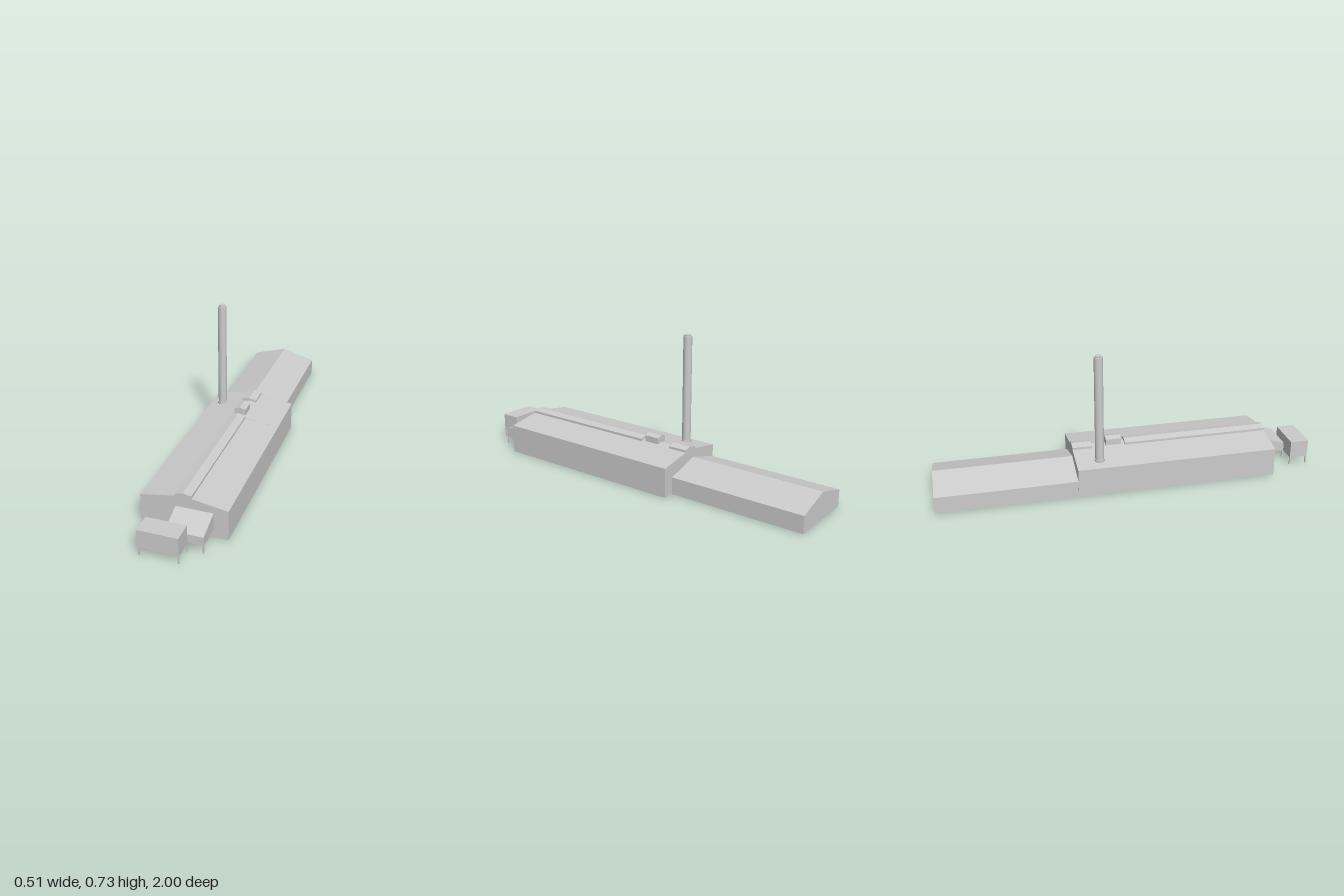
import * as THREE from 'three';

const grey = new THREE.MeshStandardMaterial({ color: 0xcccccc, side: THREE.DoubleSide });

// Profiles are [x, y] points across the building; z runs along it.
const gable = (l, r, base, eave, ridge) =>
  [[l, base], [l, eave], [(l + r) / 2, ridge], [r, eave], [r, base]];

const L = -0.193, R = 0.23, EAVE = 0.152;
const BACK = -0.277, FRONT = 0.769;
const mainProfile = gable(L, R, 0, EAVE, 0.188);
const monitorTop = gable(-0.024, 0.056, 0.181, 0.193, 0.202);
const monitorProfile = [[L, 0], [L, EAVE], ...monitorTop, [R, EAVE], [R, 0]];
const wingProfile = gable(-0.19, 0.171, 0, 0.088, 0.14);

function add(parent, name, geometry) {
  const mesh = new THREE.Mesh(geometry, grey);
  mesh.name = name;
  parent.add(mesh);
  return mesh;
}

// Flat panels joining profile a at z0 to profile b at z1
function strip(a, z0, z1, b = a) {
  const pos = [];
  for (let i = 0; i < a.length - 1; i++) {
    const p = [...a[i], z0], q = [...a[i + 1], z0];
    const r = [...b[i + 1], z1], s = [...b[i], z1];
    pos.push(...p, ...s, ...r, ...p, ...r, ...q);
  }
  const g = new THREE.BufferGeometry();
  g.setAttribute('position', new THREE.Float32BufferAttribute(pos, 3));
  g.computeVertexNormals();
  return g;
}

// Flat end wall at z, with an optional opening
function wall(points, z, hole) {
  const toVec = (p) => new THREE.Vector2(p[0], p[1]);
  const shape = new THREE.Shape(points.map(toVec));
  if (hole) shape.holes.push(new THREE.Path(hole.map(toVec)));
  return new THREE.ShapeGeometry(shape).translate(0, 0, z);
}

const rect = (l, r, b, t) => [[l, b], [l, t], [r, t], [r, b]];

export function createModel() {
  const model = new THREE.Group();
  model.name = 'factory';
  const site = new THREE.Group();
  site.name = 'buildings';
  site.rotation.y = -0.0855;
  model.add(site);

  // Main hall, open underneath, with raised ridge monitors
  const hall = new THREE.Group();
  hall.name = 'mainHall';
  site.add(hall);
  add(hall, 'hallRear', strip(monitorProfile, BACK, -0.175));
  add(hall, 'hallMiddle', strip(mainProfile, -0.175, 0));
  add(hall, 'hallFront', strip(monitorProfile, 0, FRONT));
  const monitorEnd = [...monitorTop, [0.0185, 0.188]];
  add(hall, 'rearMonitorEnd', wall(monitorEnd, -0.175));
  add(hall, 'frontMonitorEnd', wall(monitorEnd, 0));
  const linkBack = rect(-0.021, 0.16, 0.042, 0.127);
  add(hall, 'frontWall', wall(monitorProfile, FRONT, linkBack));
  add(hall, 'backWall', wall([...monitorProfile, ...[...wingProfile].reverse()], BACK));

  // Lower rear wing
  const wing = new THREE.Group();
  wing.name = 'rearWing';
  site.add(wing);
  add(wing, 'wingShell', strip(wingProfile, -0.988, BACK));
  add(wing, 'wingEnd', wall(wingProfile, -0.988));

  // Small gabled roof vent
  const vent = new THREE.Group();
  vent.name = 'roofVent';
  site.add(vent);
  const ventProfile = gable(-0.013, 0.048, 0.182, 0.215, 0.224);
  add(vent, 'ventShell', strip(ventProfile, -0.1, -0.02));
  for (const z of [-0.1, -0.02]) add(vent, 'ventEnd', wall(ventProfile, z));

  // Chimney with base collar and small cap
  const chimney = new THREE.Group();
  chimney.name = 'chimney';
  chimney.position.set(-0.126, 0, -0.155);
  site.add(chimney);
  const cylinder = (name, radius, y0, y1) => add(chimney, name,
    new THREE.CylinderGeometry(radius, radius, y1 - y0, 24).translate(0, (y0 + y1) / 2, 0));
  cylinder('stack', 0.0225, 0.16, 0.724);
  cylinder('collar', 0.026, 0.16, 0.172);
  cylinder('cap', 0.016, 0.724, 0.731);

  // Sloping link leading out of the front wall
  const link = new THREE.Group();
  link.name = 'link';
  site.add(link);
  const linkFront = rect(-0.021, 0.16, 0.042, 0.087);
  const ring = (p) => [...p, p[0]];
  add(link, 'linkShell', strip(ring(linkBack), FRONT, 0.895, ring(linkFront)));
  add(link, 'linkEnd', wall(linkFront, 0.895));

  // Raised cabin across the end of the link
  add(site, 'cabin', new THREE.BoxGeometry(0.194, 0.093, 0.098).translate(-0.012, 0.0885, 0.945));

  // Thin supporting legs
  const legs = [[-0.105, 0.99], [0.081, 0.99], [-0.105, 0.9], [0.081, 0.9],
    [-0.017, 0.891], [0.156, 0.891]];
  for (const [x, z] of legs) {
    add(site, 'leg', new THREE.BoxGeometry(0.007, 0.042, 0.007).translate(x, 0.021, z));
  }
  return model;
}
